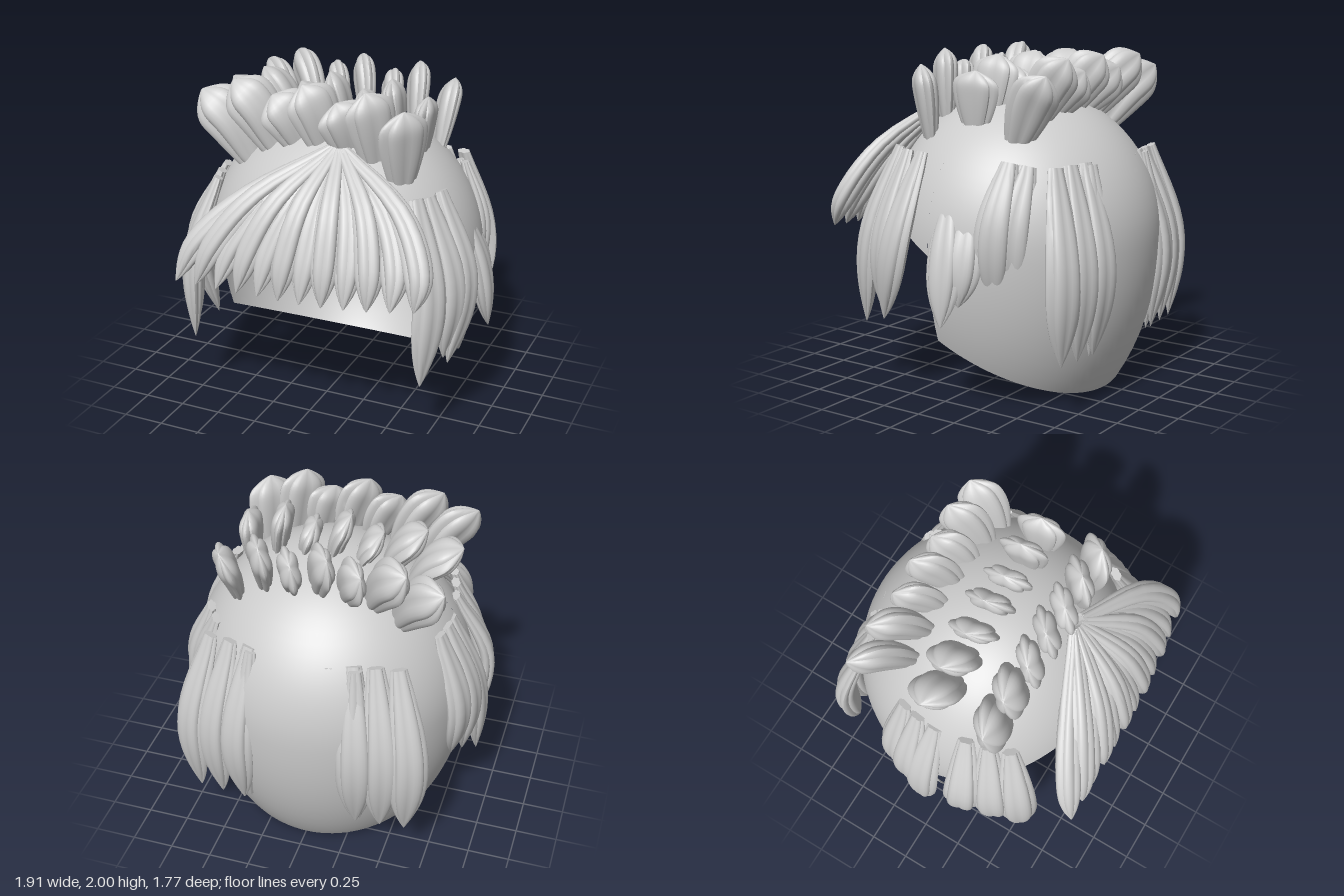
import * as THREE from 'three';
import { toCreasedNormals } from 'three/addons/utils/BufferGeometryUtils.js';

const grey = new THREE.MeshStandardMaterial({ color: 0xcccccc });
const greyDouble = new THREE.MeshStandardMaterial({ color: 0xcccccc, side: THREE.DoubleSide });
const V = (x, y, z) => new THREE.Vector3(x, y, z);

// Scalp shape: an ellipsoid, longer below its middle and flatter in front
const MID = 0.92, ZC = -0.03;
const radiusZ = (c) => (c > 0 ? 0.78 : 0.85);
function scalpPoint(azimuth, lat) {
  const h = Math.cos(lat), c = Math.cos(azimuth);
  return V(0.85 * h * Math.sin(azimuth), MID + (lat > 0 ? 0.85 : 1.3) * Math.sin(lat), ZC + radiusZ(c) * h * c);
}
const scalpHeight = (x, z) =>
  MID + 0.85 * Math.sqrt(Math.max(0, 1 - (x / 0.85) ** 2 - ((z - ZC) / radiusZ(z - ZC)) ** 2));

// A patch of scalp over a range of azimuth, cut below by the sloping plane y = offset + 0.55 z
function scalpPatch(from, to, offset) {
  const cols = 48, rows = 28, pos = [], nor = [], idx = [];
  for (let i = 0; i <= cols; i++) {
    const az = from + ((to - from) * i) / cols;
    let lo = -1.3, hi = 1.4;
    for (let k = 0; k < 30; k++) {
      const m = (lo + hi) / 2, p = scalpPoint(az, m);
      if (p.y < offset + 0.55 * p.z) lo = m; else hi = m;
    }
    for (let j = 0; j <= rows; j++) {
      const lat = lo + ((Math.PI / 2 - lo) * j) / rows;
      const p = scalpPoint(az, lat), b = lat > 0 ? 0.85 : 1.3;
      const n = V(p.x / 0.7225, (p.y - MID) / (b * b), (p.z - ZC) / radiusZ(Math.cos(az)) ** 2).normalize();
      pos.push(p.x, p.y, p.z);
      nor.push(n.x, n.y, n.z);
      if (i < cols && j < rows) {
        const a = i * (rows + 1) + j, c = a + rows + 1;
        idx.push(a, c, a + 1, c, c + 1, a + 1);
      }
    }
  }
  const g = new THREE.BufferGeometry();
  g.setAttribute('position', new THREE.Float32BufferAttribute(pos, 3));
  g.setAttribute('normal', new THREE.Float32BufferAttribute(nor, 3));
  g.setIndex(idx);
  return g;
}

// Width of a lock along its length: narrow root, full belly, pointed or rounded tip
const hangingShape = (t) => (t < 0.58 ? 0.42 + 0.58 * Math.sin((t / 0.58) * Math.PI / 2) : 1 - 0.97 * ((t - 0.58) / 0.42) ** 2.3);
const tuftShape = (t) => (t < 0.6 ? 0.55 + 0.45 * Math.sin((t / 0.6) * Math.PI / 2) : 1 - 0.95 * ((t - 0.6) / 0.4) ** 2.6);

// A ribbed lock swept along a curve; its thin side faces the vector n
function lockGeometry(points, n, halfWidth, halfDepth, shape) {
  const curve = new THREE.CatmullRomCurve3(points);
  const rings = 16, sides = 36, pos = [], idx = [];
  for (let i = 0; i <= rings; i++) {
    const t = Math.sin((i / rings) * Math.PI / 2) * 0.5 + (i / rings) * 0.5;
    const p = curve.getPoint(t), T = curve.getTangent(t);
    const depth = n.clone().addScaledVector(T, -n.dot(T)).normalize();
    const side = depth.clone().cross(T);
    for (let j = 0; j < sides; j++) {
      const a = (j / sides) * Math.PI * 2;
      const r = shape(t) * (0.82 + 0.18 * Math.abs(Math.cos(3 * a)));
      const q = p.clone().addScaledVector(side, Math.cos(a) * r * halfWidth).addScaledVector(depth, Math.sin(a) * r * halfDepth);
      pos.push(q.x, q.y, q.z);
      if (i < rings) {
        const k = (j + 1) % sides, A = i * sides, B = A + sides;
        idx.push(A + j, A + k, B + j, A + k, B + k, B + j);
      }
    }
  }
  // Close both ends
  const end = rings * sides, root = pos.length / 3;
  for (const p of [points[0], points[points.length - 1]]) pos.push(p.x, p.y, p.z);
  for (let j = 0; j < sides; j++) {
    const k = (j + 1) % sides;
    idx.push(root, k, j, root + 1, end + j, end + k);
  }
  const g = new THREE.BufferGeometry();
  g.setAttribute('position', new THREE.Float32BufferAttribute(pos, 3));
  g.setIndex(idx);
  return toCreasedNormals(g, 0.6);
}

export function createModel() {
  const model = new THREE.Group();
  const group = (name) => {
    const g = new THREE.Group();
    g.name = name;
    model.add(g);
    return g;
  };
  const addLock = (parent, name, ...args) => {
    const m = new THREE.Mesh(lockGeometry(...args), grey);
    m.name = name;
    parent.add(m);
  };

  // Scalp cap: short in front for the face, long behind
  const cap = group('scalpCap');
  const q = Math.PI / 2 - 0.09;
  [['frontScalp', -q, q, 0.86], ['backScalp', q, 2 * Math.PI - q, 0.35]].forEach(([name, a, b, off]) => {
    const m = new THREE.Mesh(scalpPatch(a, b, off), greyDouble);
    m.name = name;
    cap.add(m);
  });

  // Fringe: locks fanning from one parting point, every other one a little raised
  const fringe = group('fringe');
  for (let i = 0; i < 12; i++) {
    const x = -0.67 + 0.131 * i, lift = i % 2 ? 0.015 : -0.01;
    const mx = 0.15 + (x - 0.15) * 0.58 + (x > 0.15 ? 0.14 * (x - 0.15) : 0);
    const bend = Math.max(0, x) ** 2;
    addLock(fringe, 'fringeLock', [
      V(0.15 + (x - 0.15) * 0.06, 1.67, 0.4),
      V(mx, 1.4 + lift, 0.67 - 0.3 * mx * mx + lift),
      V(0.15 + (x - 0.15) * 0.87 + 0.12 * bend, 1.14, 0.79 - 0.15 * bend + lift),
      V(x, 0.91 + 0.08 * bend, 0.875 - 0.13 * bend),
    ], V(mx * 0.8, 0.45, 0.8), 0.085, 0.07, hangingShape);
  }

  // Crest tufts: three rows of seven, fanning sideways, turned to face outwards
  const crest = group('crestTufts');
  const tips = [
    [-0.76, 1.9], [-0.55, 1.98], [-0.3, 1.92], [-0.11, 2.0], [0.1, 1.92], [0.28, 2.0], [0.51, 1.92],
  ];
  [
    { z: 0.28, lean: 0.05, drop: 0, n: V(0.75, 0, 0.65), width: 0.155, depth: 0.07 },
    { z: -0.04, lean: -0.02, drop: 0.02, n: V(1, 0, -0.1), width: 0.15, depth: 0.06 },
    { z: -0.33, lean: -0.2, drop: 0.03, n: V(0.8, 0, -0.6), width: 0.14, depth: 0.065 },
  ].forEach(({ z, lean, drop, n, width, depth }) => {
    tips.forEach(([tx, top], i) => {
      const x = -0.47 + 0.16 * i, dx = tx - x;
      const y = Math.min(scalpHeight(x, z) - 0.04, 1.63), h = top - drop - y;
      addLock(crest, 'crestTuft', [
        V(x, y, z), V(x + dx * 0.45, y + h * 0.6, z + lean * 0.5), V(tx, y + h, z + lean),
      ], n, width, depth + (i < 2 ? 0.02 : 0), tuftShape);
    });
  });

  // Hanging locks: root, middle and tip of each, with its half width and facing
  const hang = (parent, name, root, mid, tip, w = 0.115, n = V(mid[0], 0, mid[2])) =>
    addLock(parent, name, [V(...root), V(...mid), V(...tip)], n, w, 0.065, hangingShape);

  const left = group('leftLocks');
  [
    [[0.62, 1.45, 0.4], [0.76, 0.95, 0.52], [0.74, 0.39, 0.59]],
    [[0.66, 1.44, 0.31], [0.83, 0.95, 0.36], [0.81, 0.5, 0.4]],
    [[0.69, 1.44, 0.19], [0.87, 0.95, 0.25], [0.83, 0.46, 0.38]],
    [[0.76, 1.2, -0.06], [0.85, 0.9, -0.09], [0.92, 0.5, -0.1]],
    [[0.74, 1.15, -0.18], [0.82, 0.9, -0.19], [0.86, 0.62, -0.18]],
    [[0.64, 1.42, -0.38], [0.76, 1.05, -0.36], [0.71, 0.58, -0.32]],
    [[0.58, 1.4, -0.46], [0.69, 1.05, -0.44], [0.66, 0.58, -0.4]],
  ].forEach((l) => hang(left, 'leftLock', ...l));

  const right = group('rightLocks');
  [
    [[-0.62, 1.4, 0.42], [-0.74, 0.95, 0.54], [-0.74, 0.39, 0.57]],
    [[-0.66, 1.4, 0.3], [-0.81, 0.95, 0.4], [-0.79, 0.46, 0.42]],
    [[-0.69, 1.4, 0.17], [-0.88, 0.95, 0.24], [-0.8, 0.37, 0.17]],
    [[-0.71, 1.38, -0.03], [-0.88, 0.95, -0.04], [-0.92, 0.44, -0.04]],
    [[-0.71, 1.4, -0.14], [-0.87, 0.95, -0.15], [-0.85, 0.5, -0.14]],
    [[-0.69, 1.4, -0.24], [-0.83, 0.95, -0.26], [-0.8, 0.52, -0.22]],
  ].forEach((l) => hang(right, 'rightLock', ...l));

  // Back locks: the outer ones hang outside the cap, the middle five just inside it
  const back = group('backLocks');
  for (const s of [-1, 1]) {
    for (let i = 0; i < 3; i++) {
      const x = 0.35 + 0.145 * i;
      hang(back, 'outerBackLock', [s * x * 0.86, 1.4, -0.66 + 0.02 * i],
        [s * x * 1.03, 0.85, -0.805 + 0.03 * i], [s * x, 0.31, -0.75 + 0.015 * i],
        0.115, V(s * x * 0.6, 0, -0.8));
    }
  }
  for (let i = 0; i < 5; i++) {
    const x = -0.36 + 0.17 * i;
    hang(back, 'innerBackLock', [x * 0.9, 1.39, -0.69], [x, 0.85, -0.795 + 0.2 * x * x], [x, 0.29, -0.71], 0.095);
  }
  return model;
}
